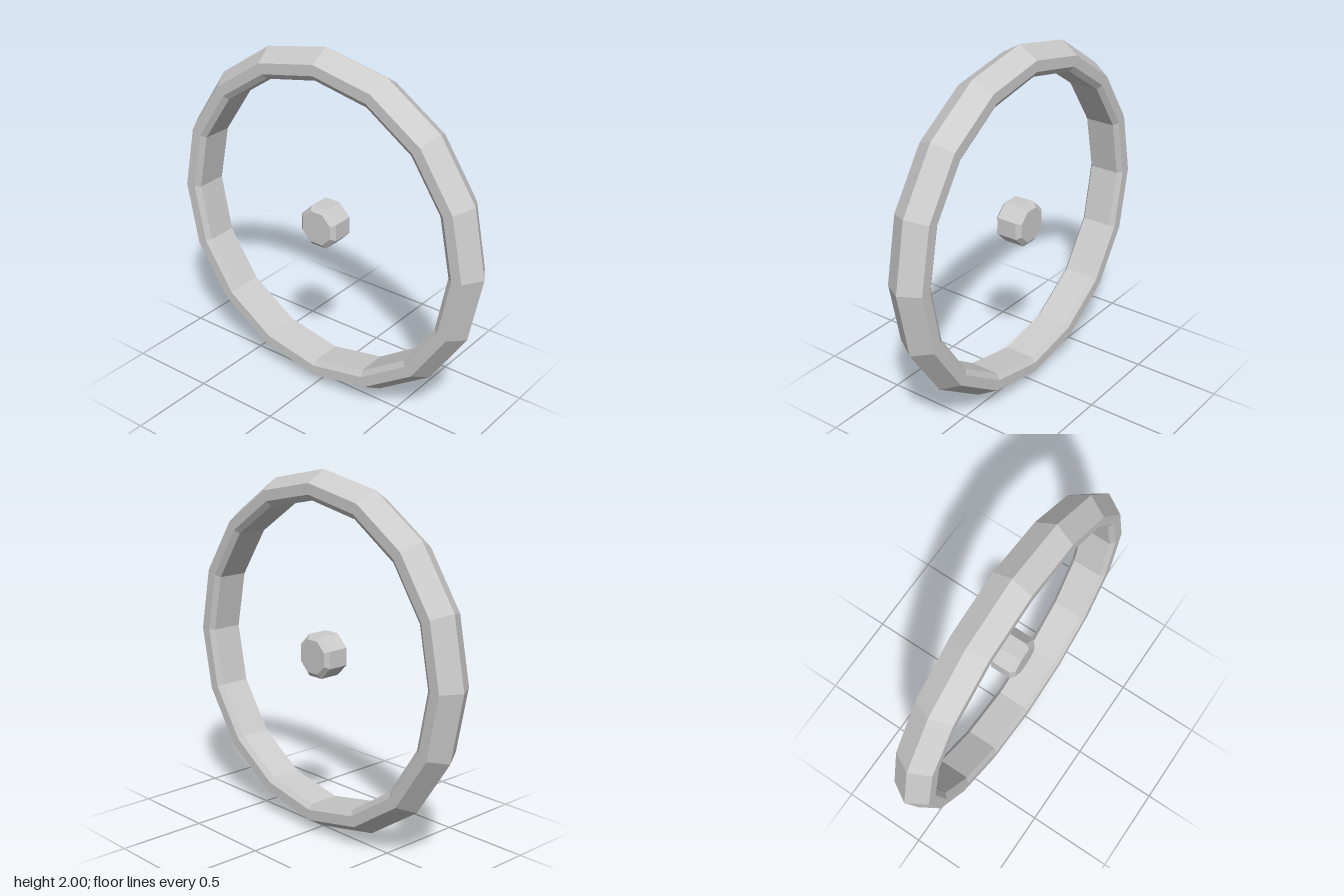
import * as THREE from 'three';

const material = new THREE.MeshStandardMaterial({ color: 0xcccccc, flatShading: true });

// Revolves [radius, offset] points around the x axis, at wheel-centre height.
function turned(name, profile, sides, start) {
  const points = profile.map(([r, a]) => new THREE.Vector2(r, a));
  const geometry = new THREE.LatheGeometry(points, sides, start);
  geometry.rotateZ(-Math.PI / 2);
  const mesh = new THREE.Mesh(geometry, material);
  mesh.name = name;
  mesh.position.y = 1;
  return mesh;
}

export function createModel() {
  const group = new THREE.Group();
  group.name = 'ringWithHub';

  // Sixteen-sided rim: ridged outside, flat sides, bevelled flat inside
  group.add(turned('rim', [
    [0.845, -0.088], [0.875, -0.11], [0.935, -0.11], [1, 0],
    [0.935, 0.11], [0.875, 0.11], [0.845, 0.088], [0.845, -0.088],
  ], 16, 0));

  // Octagonal floating hub with bevelled ends
  group.add(turned('hub', [
    [0, -0.082], [0.099, -0.082], [0.126, -0.06],
    [0.126, 0.06], [0.099, 0.082], [0, 0.082],
  ], 8, Math.PI / 8));

  return group;
}
